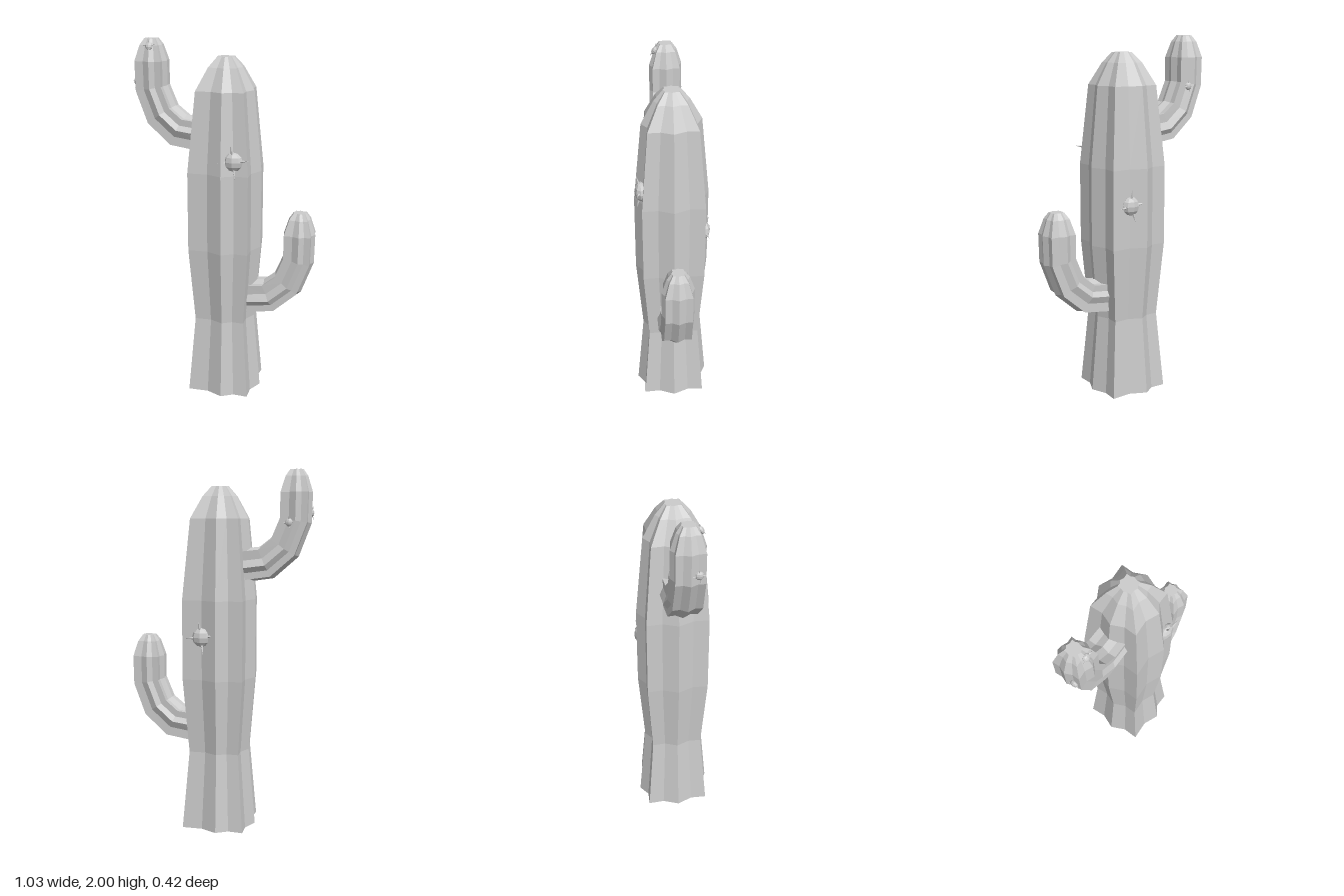
import * as THREE from 'three';

const material = new THREE.MeshStandardMaterial({ color: 0xcccccc, flatShading: true, side: THREE.DoubleSide });

// Fluted cross-section: eight ridges with shallow valleys (second half is the first turned 180 degrees)
const half = [[1.01, 0], [0.83, 0.42], [0.85, 0.85], [0.45, 0.83], [0.14, 1.03], [-0.3, 0.83], [-0.85, 0.85], [-0.83, 0.42]];
const section = [...half, ...half.map(([u, v]) => [-u, -v])];

// Sweep the section through rings [x, y, radius, heading in degrees] and close the tip
function flutedStem(name, rings) {
  const n = section.length;
  const positions = [];
  const index = [];
  rings.forEach(([x, y, r, heading]) => {
    const a = THREE.MathUtils.degToRad(heading);
    section.forEach(([u, v]) => {
      positions.push(x + Math.sin(a) * u * r, y - Math.cos(a) * u * r, v * r);
    });
  });
  for (let k = 0; k < rings.length - 1; k++) {
    for (let i = 0; i < n; i++) {
      const a = k * n + i;
      const b = k * n + (i + 1) % n;
      index.push(a, a + n, b, b, a + n, b + n);
    }
  }
  const last = (rings.length - 1) * n;
  const [tx, ty] = rings[rings.length - 1];
  positions.push(tx, ty, 0);
  for (let i = 0; i < n; i++) index.push(last + n, last + (i + 1) % n, last + i);

  const geometry = new THREE.BufferGeometry();
  geometry.setAttribute('position', new THREE.Float32BufferAttribute(positions, 3));
  geometry.setIndex(index);
  geometry.computeVertexNormals();
  const mesh = new THREE.Mesh(geometry, material);
  mesh.name = name;
  return mesh;
}

// Spiny bud facing local +z: a blunt cushion with thin spines around it
function spinyBud(name, position, rotation, scale) {
  const bud = new THREE.Group();
  bud.name = name;
  const cushion = new THREE.Mesh(new THREE.SphereGeometry(0.052, 8, 6), material);
  cushion.name = 'budCushion';
  cushion.scale.set(1, 1, 0.65);
  bud.add(cushion);
  for (const [angle, length] of [[10, 0.085], [95, 0.085], [185, 0.075], [280, 0.085]]) {
    const a = THREE.MathUtils.degToRad(angle);
    const direction = new THREE.Vector3(Math.cos(a), Math.sin(a), 0.25).normalize();
    const spine = new THREE.Mesh(new THREE.ConeGeometry(0.014, length, 4), material);
    spine.name = 'spine';
    spine.quaternion.setFromUnitVectors(new THREE.Vector3(0, 1, 0), direction);
    spine.position.copy(direction).multiplyScalar(length / 2 + 0.01);
    bud.add(spine);
  }
  bud.position.set(...position);
  bud.rotation.set(...rotation);
  bud.scale.setScalar(scale);
  return bud;
}

export function createModel() {
  const model = new THREE.Group();
  model.name = 'cactus';

  // Trunk, open at the bottom
  const trunkProfile = [[0, 0.205], [0.44, 0.166], [0.86, 0.2], [1.3, 0.2], [1.74, 0.157], [1.86, 0.092], [1.915, 0.045]];
  model.add(flutedStem('trunk', trunkProfile.map(([y, r]) => [0, y, r, 90])));

  // Bent arms: the upper one is the lower one turned half round
  const armRings = [
    [0.13, 0.565, 0.092, 2], [0.265, 0.583, 0.093, 25], [0.365, 0.668, 0.09, 56], [0.422, 0.812, 0.087, 80],
    [0.424, 0.96, 0.087, 90], [0.424, 1.045, 0.06, 90], [0.424, 1.08, 0.036, 90],
  ];
  model.add(flutedStem('lowerArm', armRings));
  const upperArm = flutedStem('upperArm', armRings);
  upperArm.rotation.y = Math.PI;
  upperArm.position.y = 0.92;
  model.add(upperArm);

  // Spiny buds on the trunk and the upper arm
  model.add(
    spinyBud('frontBud', [0.09, 1.38, 0.172], [0, 0, 0], 1),
    spinyBud('backBud', [0.06, 1.1, -0.175], [0, Math.PI, 0], 1),
    spinyBud('armTipBud', [-0.415, 1.962, 0.06], [-0.5, 0, 0], 0.42),
    spinyBud('armSideBud', [-0.5, 1.77, 0.04], [0, -Math.PI / 2, 0], 0.42),
    spinyBud('armBackBud', [-0.4, 1.72, -0.078], [0, Math.PI, 0], 0.42),
  );
  return model;
}
